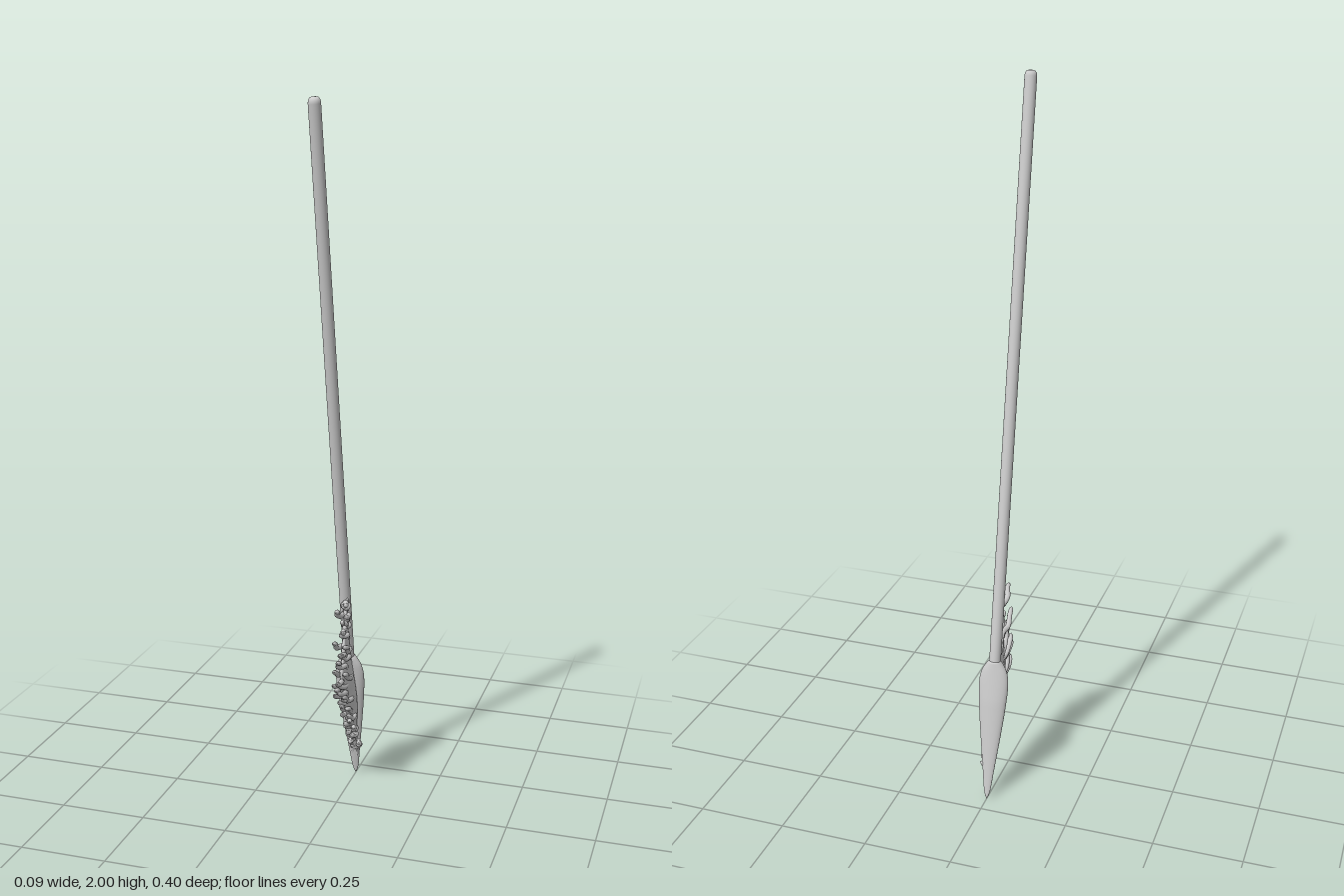
import * as THREE from 'three';

const material = new THREE.MeshStandardMaterial({ color: 0xcccccc, side: THREE.DoubleSide });
const axisZ = (y) => -0.2 + 0.193 * y; // z of the leaning shaft axis at height y

// Closed-ring surface: point(i, j) gives the j-th point of the i-th cross-section.
function loft(rows, cols, point) {
  const pos = [], index = [];
  for (let i = 0; i <= rows; i++) for (let j = 0; j < cols; j++) pos.push(...point(i / rows, (j / cols) * Math.PI * 2));
  for (let i = 0; i < rows; i++) for (let j = 0; j < cols; j++) {
    const a = i * cols + j, b = i * cols + (j + 1) % cols;
    index.push(a, a + cols, b, b, a + cols, b + cols);
  }
  const g = new THREE.BufferGeometry();
  g.setAttribute('position', new THREE.Float32BufferAttribute(pos, 3));
  g.setIndex(index);
  g.computeVertexNormals();
  return g;
}

// Smooth 2D curve through a few points, sampled at t
const curve = (pts) => new THREE.SplineCurve(pts.map((p) => new THREE.Vector2(...p)));

function part(name, geometry) {
  const mesh = new THREE.Mesh(geometry, material);
  mesh.name = name;
  return mesh;
}

// Tapering wavy strand with a rounded end
function strand(points, r0, r1) {
  const path = new THREE.CatmullRomCurve3(points);
  const rows = 20, frames = path.computeFrenetFrames(rows);
  return loft(rows, 8, (t, a) => {
    const i = Math.round(t * rows);
    const cap = t > 0.88 ? Math.sqrt(Math.max(0, 1 - ((t - 0.88) / 0.12) ** 2)) : 1;
    const r = (r0 + (r1 - r0) * t) * cap;
    return path.getPointAt(t)
      .addScaledVector(frames.normals[i], r * Math.cos(a))
      .addScaledVector(frames.binormals[i], r * Math.sin(a)).toArray();
  });
}

export function createModel() {
  const model = new THREE.Group();
  model.name = 'spear';

  // Shaft and blade share the leaning axis
  const pole = new THREE.Group();
  pole.name = 'pole';
  pole.position.z = -0.2;
  pole.rotation.x = Math.atan(0.193);
  model.add(pole);

  const shaftProfile = [[0, 0.2], [0.016, 0.25], [0.0165, 0.5], [0.0165, 2.018], [0.0155, 2.026], [0.011, 2.032], [0, 2.034]];
  pole.add(part('shaft', new THREE.LatheGeometry(shaftProfile.map((p) => new THREE.Vector2(...p)), 28)));

  // Leaf-shaped blade: [half width, height], flattened front to back
  const outline = curve([[0, 0], [0.009, 0.025], [0.017, 0.09], [0.028, 0.18], [0.038, 0.27], [0.043, 0.345],
    [0.038, 0.385], [0.025, 0.41], [0.014, 0.422]]);
  pole.add(part('blade', loft(48, 32, (t, a) => {
    const p = outline.getPoint(t);
    const depth = Math.min(p.x, 0.003 + 0.016 * Math.min(1, p.y / 0.3));
    return [p.x * Math.cos(a), p.y, depth * Math.sin(a)];
  })));

  // Webbed fin on the front, thick at the blade and thin outwards: [height, reach]
  const reach = curve([[0.09, 0.01], [0.15, 0.035], [0.21, 0.065], [0.27, 0.09], [0.33, 0.11], [0.39, 0.11],
    [0.45, 0.085], [0.51, 0.06], [0.57, 0.035], [0.61, 0.012]]);
  model.add(part('fin', loft(60, 28, (t, a) => {
    const p = reach.getPoint(t), u = (1 - Math.cos(a)) / 2;
    const base = 0.008 + 0.022 * Math.exp(-(((p.x - 0.3) / 0.13) ** 2));
    const ripple = 1 + 0.2 * Math.sin(p.x * 105 + u * 3);
    const half = (base * (1 - u) + 0.007 * u * ripple) * Math.sign(Math.sin(a)) * Math.sqrt(Math.abs(Math.sin(a)));
    return [0.01 * u + half, p.x - 0.03 * (1 - u), axisZ(p.x) + p.y * u * (0.9 + 0.1 * ripple)];
  })));

  // Root-like strands: strand tips as [z, y], every tip has a shorter neighbour
  const strands = new THREE.Group();
  strands.name = 'strands';
  const tips = [[-0.162, 0.115], [-0.135, 0.135], [-0.115, 0.165], [-0.085, 0.185], [-0.075, 0.21], [-0.05, 0.235],
    [-0.035, 0.265], [-0.015, 0.295], [0.005, 0.325], [0.03, 0.35], [0.052, 0.372], [0.065, 0.4], [0.03, 0.42],
    [0.05, 0.455], [0.015, 0.47], [0.033, 0.505], [0, 0.53], [-0.02, 0.555], [0.012, 0.592], [-0.03, 0.605]];
  tips.forEach(([z, y], i) => {
    for (const twin of [0, 1]) {
      const k = i * 2.4 + twin * 1.9;
      const tipX = 0.012 + 0.011 * Math.sin(k * 1.7);
      const tipZ = z - twin * 0.016, tipY = y - twin * 0.013;
      const rise = Math.min(0.08, (tipZ - axisZ(tipY)) * 0.5);
      const rootY = tipY - rise, rootZ = axisZ(rootY) + 0.005;
      const pts = [];
      for (let s = 0; s <= 5; s++) {
        const t = s / 5, wave = Math.sin(t * Math.PI) * 0.007;
        pts.push(new THREE.Vector3(
          tipX * t + (twin ? 0.009 : -0.004) * Math.sin(t * Math.PI) + wave * 0.6 * Math.sin(s * 1.9 + k),
          rootY + rise * t + wave * Math.sin(s * 2.2 + k),
          rootZ + (tipZ - rootZ) * t));
      }
      strands.add(part('strand', strand(pts, 0.010, 0.0065)));
    }
  });
  model.add(strands);
  return model;
}
